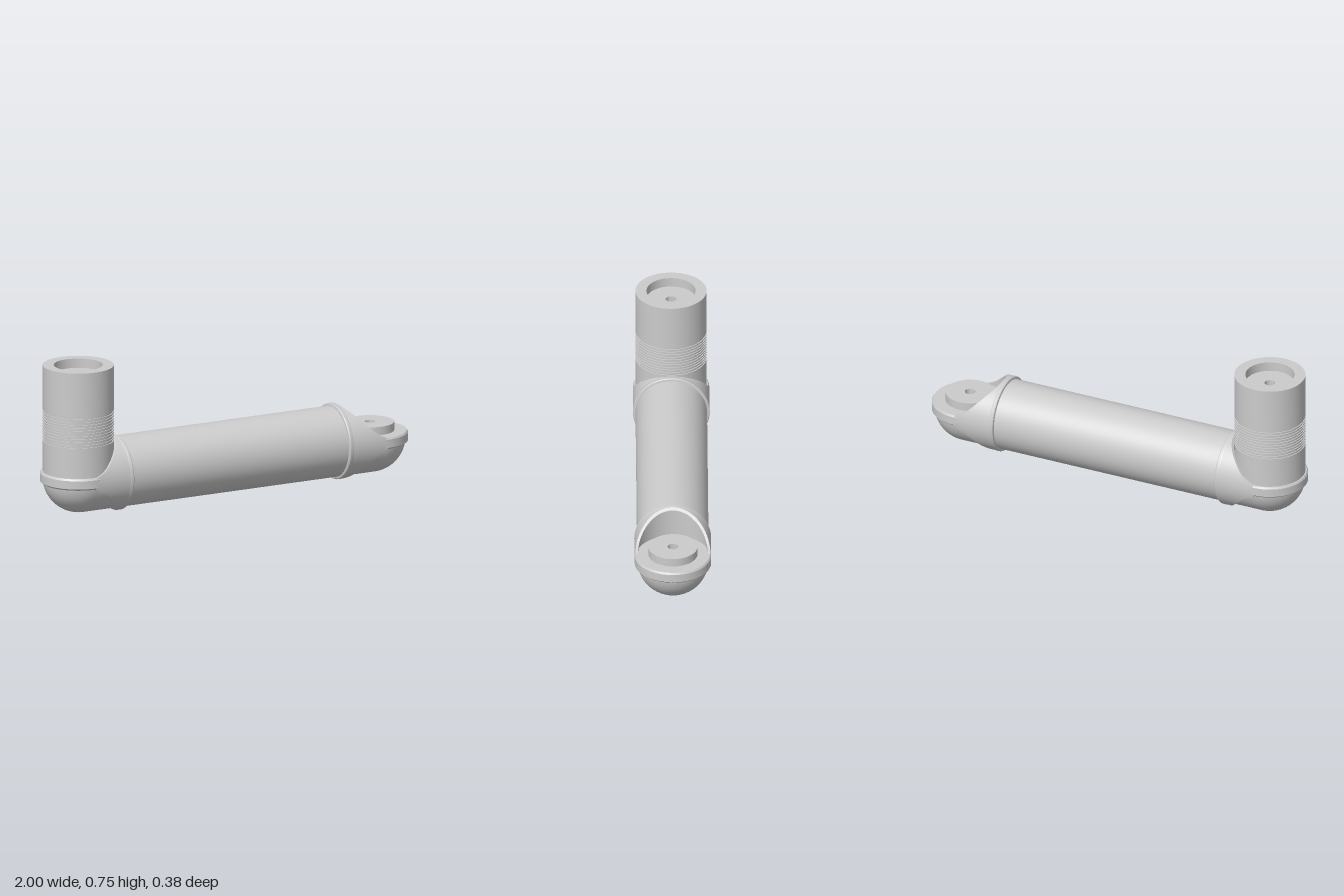
import * as THREE from 'three';
import { toCreasedNormals } from 'three/addons/utils/BufferGeometryUtils.js';
import { ParametricGeometry } from 'three/addons/geometries/ParametricGeometry.js';

const material = new THREE.MeshStandardMaterial({ color: 0xcccccc });
const sheet = new THREE.MeshStandardMaterial({ color: 0xcccccc, side: THREE.DoubleSide });

const AXIS_Y = 0.188;   // height of the main tube axis
const R = 0.175;        // main tube radius
const R_OUT = 0.187;    // sleeve and rim radius
const JOINT_X = 0.813;  // distance of each joint axis from the middle
const FLOOR_Y = 0.22;   // top of the joint plate

function add(parent, name, geometry, mat = material) {
  const mesh = new THREE.Mesh(geometry, mat);
  mesh.name = name;
  parent.add(mesh);
  return mesh;
}

// Turned part about the joint axis, with crisp edges
function turned(points) {
  const profile = points.map(([r, y]) => new THREE.Vector2(r, y));
  return toCreasedNormals(new THREE.LatheGeometry(profile, 64), 0.5);
}

// Sleeve mouth: a 45 degree mitre that sweeps into the rim
function mouthX(height) {
  const h = Math.abs(height);
  if (h < 0.03) return JOINT_X;
  const t = Math.max(0, (0.07 - h) / 0.04);
  return JOINT_X - h + 0.03 * t * t;
}

// Point on the sleeve mouth at a given radius
function mouthPoint(angle, radius, target) {
  const y = radius * Math.sin(angle);
  return target.set(mouthX(y), AXIS_Y + y, radius * Math.cos(angle));
}

function makeEnd(name) {
  const end = new THREE.Group();
  end.name = name;

  // Sleeve around the tube end
  add(end, 'sleeve', new ParametricGeometry((u, v, p) => {
    mouthPoint(u * Math.PI * 2, R_OUT, p);
    p.x = 0.605 + (p.x - 0.605) * v;
  }, 144, 8), sheet);

  // Thickness of the sleeve edge, above and below
  const inner = new THREE.Vector3();
  add(end, 'sleeveLip', new ParametricGeometry((u, v, p) => {
    mouthPoint(u * Math.PI * 2, R_OUT, p);
    mouthPoint(u * Math.PI * 2, R, inner);
    p.lerp(inner, v);
  }, 144, 1), sheet);

  // Curved back wall of the open pocket
  add(end, 'pocketWall', new ParametricGeometry((u, v, p) => {
    const angle = 0.17 + u * (Math.PI - 0.34);
    mouthPoint(angle, R, p);
    p.y = p.y + (Math.min(p.y, FLOOR_Y - 0.005) - p.y) * v;
  }, 64, 1), sheet);

  // Raised ring at the back of the sleeve
  const ring = add(end, 'sleeveRing', turned([
    [R, 0.6], [R_OUT - 0.002, 0.602], [R_OUT + 0.001, 0.606],
    [R_OUT + 0.001, 0.62], [R_OUT - 0.001, 0.626],
  ]));
  ring.rotation.z = -Math.PI / 2;
  ring.position.y = AXIS_Y;
  ring.material = sheet;

  // Lower half of the tube running into a rounded elbow
  add(end, 'elbowTrough', new ParametricGeometry((u, v, p) => {
    const a = Math.PI * (1 + u);
    p.set(0.6 + (JOINT_X - 0.6) * v, AXIS_Y + R * Math.sin(a), R * Math.cos(a));
  }, 48, 1), sheet);
  const bowl = add(end, 'elbowBowl',
    new THREE.SphereGeometry(R, 64, 20, 0, Math.PI * 2, Math.PI / 2, Math.PI / 2));
  bowl.position.set(JOINT_X, AXIS_Y, 0);

  // Joint plate with chamfered rim
  const plate = add(end, 'jointPlate', turned([
    [0, 0.162], [0.178, 0.162], [R_OUT, 0.17], [R_OUT, 0.211], [0.181, FLOOR_Y], [0, FLOOR_Y],
  ]));
  plate.position.x = JOINT_X;
  return end;
}

export function createModel() {
  const model = new THREE.Group();
  model.name = 'armLink';

  // Main horizontal tube
  const tube = add(model, 'mainTube', new THREE.CylinderGeometry(R, R, 1.22, 64, 1, true), sheet);
  tube.rotation.z = Math.PI / 2;
  tube.position.y = AXIS_Y;

  const leftEnd = makeEnd('leftEnd');
  const rightEnd = makeEnd('rightEnd');
  rightEnd.rotation.y = Math.PI;
  model.add(leftEnd, rightEnd);

  // Mounting boss with a blind centre hole, and a small key beside it
  const boss = add(leftEnd, 'mountingBoss', turned([
    [0.12, FLOOR_Y - 0.005], [0.12, 0.262], [0.026, 0.262], [0.026, 0.225], [0, 0.225],
  ]));
  boss.position.x = JOINT_X;
  const key = add(leftEnd, 'locatingKey', new THREE.CylinderGeometry(0.03, 0.03, 0.012, 24));
  key.position.set(0.673, FLOOR_Y, 0);

  // Upright tube: grooved grip band, recessed socket and blind hole on top
  const outer = 0.174, pitch = 0.0145;
  const profile = [[outer, FLOOR_Y - 0.01]];
  for (let i = 0; i < 11; i++) {
    const y = 0.374 + i * pitch;
    profile.push([outer, y], [outer - 0.005, y], [outer - 0.005, y + pitch * 0.6], [outer, y + pitch * 0.6]);
  }
  profile.push([outer, 0.752], [0.12, 0.752], [0.12, 0.705], [0.026, 0.705], [0.026, 0.665], [0, 0.665]);
  const upright = add(rightEnd, 'uprightTube', turned(profile));
  upright.position.x = JOINT_X;

  return model;
}
